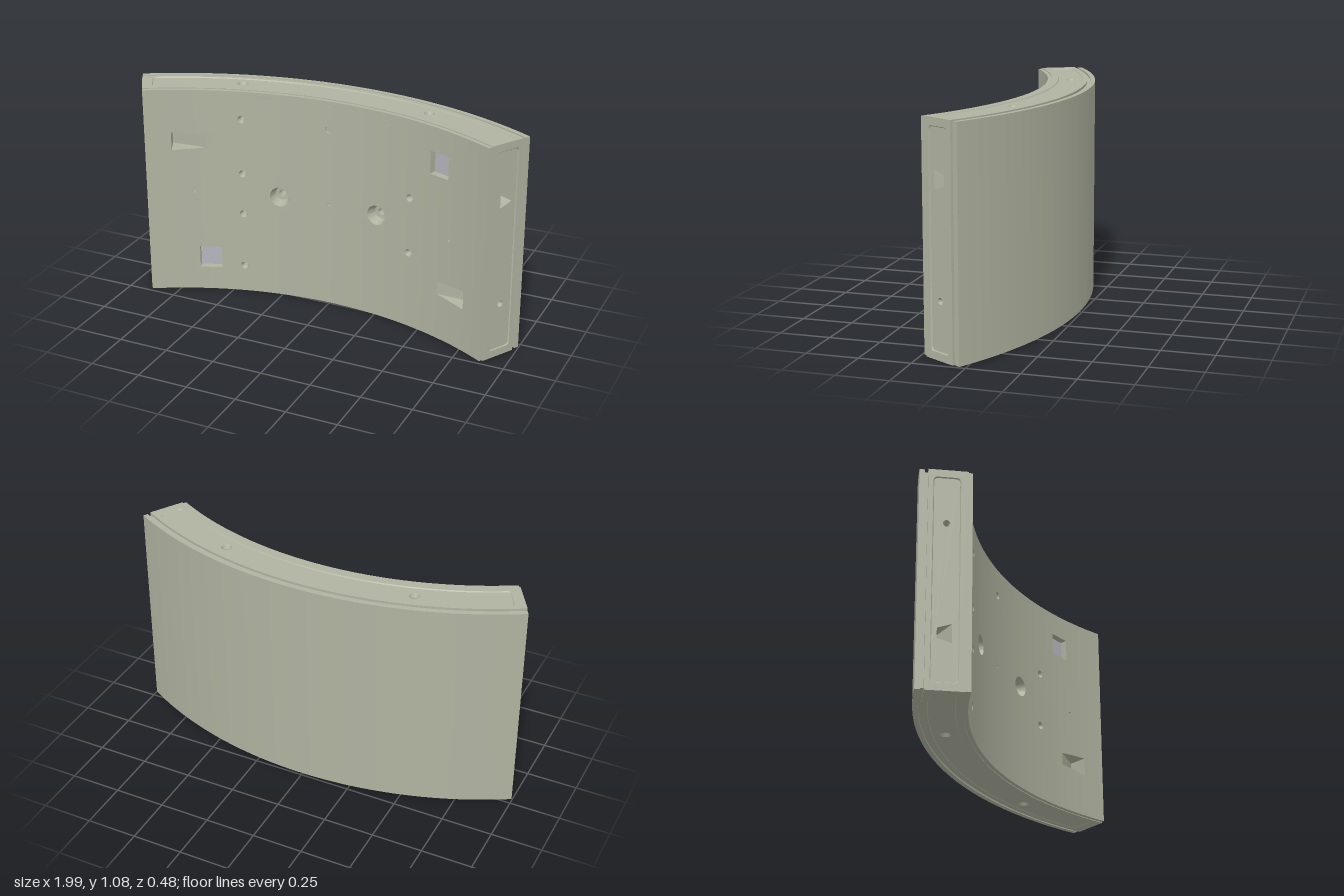
import * as THREE from 'three';
import { toCreasedNormals } from 'three/addons/utils/BufferGeometryUtils.js';

const RI = 1.747, RO = 1.987, ZC = 1.747, H = 1.077;
const A = Math.asin(1 / RO);                  // half of the arc's angle
const PANEL_R = [1.8, 1.924], PANEL_D = 0.005;

const concrete = new THREE.MeshStandardMaterial({ color: 0xb0b3a0 });
const steel = new THREE.MeshStandardMaterial({ color: 0xb4b4bc });

// Surface maps: (u, v, depth below the surface) to a point in space
const polar = (a, r, y) => new THREE.Vector3(r * Math.sin(a), y, ZC - r * Math.cos(a));
const innerMap = (u, v, d) => polar(u / RI, RI + d, v);
const topMap = (u, v, d) => new THREE.Vector3(u, H - d, -v);
const endMap = (u, v, d) => polar(A, u, v).add(new THREE.Vector3(-d * Math.cos(A), 0, -d * Math.sin(A)));
const arcU = x => RI * Math.asin(x / RI);     // front x to length along the inner arc

// Collects triangles, dropping degenerate ones
class Surface {
  constructor() { this.p = []; }
  tri(a, b, c) {
    const n = b.clone().sub(a).cross(c.clone().sub(a));
    if (n.length() > 1e-9) for (const q of [a, b, c]) this.p.push(q.x, q.y, q.z);
  }
  // Skin between closed rings of points
  loft(rings) {
    for (let i = 0; i + 1 < rings.length; i++) {
      const f = rings[i], g = rings[i + 1], n = f.length;
      for (let j = 0; j < n; j++) {
        const k = (j + 1) % n;
        this.tri(f[j], g[j], f[k]);
        this.tri(f[k], g[j], g[k]);
      }
    }
  }
  // Recess walls: steps are [contour, depth]; contours run counter-clockwise
  cut(map, steps, cap = true) {
    const rings = steps.map(([c, d]) => c.map((q, i) => map(q[0], q[1], Array.isArray(d) ? d[i] : d)).reverse());
    this.loft(rings);
    if (cap) this.cap(rings.at(-1));
  }
  cap(ring) {
    for (let j = 1; j + 1 < ring.length; j++) this.tri(ring[0], ring[j + 1], ring[j]);
  }
  // Flat outline with holes; with a step the triangles are sliced to follow the curve
  face(map, outline, holes, d, step = 0) {
    const shape = new THREE.Shape(outline.map(q => new THREE.Vector2(...q)));
    for (const h of holes) shape.holes.push(new THREE.Path(h.map(q => new THREE.Vector2(...q))));
    const pos = new THREE.ShapeGeometry(shape).toNonIndexed().attributes.position;
    for (let i = 0; i < pos.count; i += 3) {
      const t = [0, 1, 2].map(k => [pos.getX(i + k), pos.getY(i + k)]);
      const us = t.map(q => q[0]);
      const k0 = step ? Math.floor(Math.min(...us) / step) : 0;
      const k1 = step ? Math.ceil(Math.max(...us) / step) : 1;
      for (let k = k0; k < k1; k++) {
        const poly = step ? clip(clip(t, k * step, 1), (k + 1) * step, -1) : t;
        const pts = poly.map(q => map(q[0], q[1], d));
        for (let j = 1; j + 1 < pts.length; j++) this.tri(pts[0], pts[j], pts[j + 1]);
      }
    }
  }
  mesh(name, material = concrete) {
    const g = new THREE.BufferGeometry();
    g.setAttribute('position', new THREE.Float32BufferAttribute(this.p, 3));
    const m = new THREE.Mesh(toCreasedNormals(g, 0.3), material);
    m.name = name;
    return m;
  }
}

// Keeps the side of a polygon where sign * (u - at) >= 0
function clip(poly, at, sign) {
  const out = [];
  poly.forEach((a, i) => {
    const b = poly[(i + 1) % poly.length];
    const da = sign * (a[0] - at), db = sign * (b[0] - at);
    if (da >= 0) out.push(a);
    if (da * db < 0) out.push([at, a[1] + (b[1] - a[1]) * da / (da - db)]);
  });
  return out;
}

const circle = (u, v, r, n = 20) => Array.from({ length: n }, (_, i) => {
  const t = i / n * Math.PI * 2;
  return [u + r * Math.cos(t), v + r * Math.sin(t)];
});
const rect = (u0, u1, v0, v1) => [[u0, v0], [u1, v0], [u1, v1], [u0, v1]];

// Rounded rectangle with n divisions along its u sides
function roundRect(u0, u1, v0, v1, c, n) {
  const out = [];
  const corner = (u, v, t0) => {
    for (let i = 0; i <= 4; i++) {
      const t = t0 + i * Math.PI / 8;
      out.push([u + c * Math.cos(t), v + c * Math.sin(t)]);
    }
  };
  const side = (a, b, v) => { for (let i = 1; i < n; i++) out.push([a + (b - a) * i / n, v]); };
  corner(u0 + c, v0 + c, Math.PI);
  side(u0 + c, u1 - c, v0);
  corner(u1 - c, v0 + c, Math.PI * 1.5);
  corner(u1 - c, v1 - c, 0);
  side(u1 - c, u0 + c, v1);
  corner(u0 + c, v1 - c, Math.PI / 2);
  return out;
}

// Wedge-shaped bolt pocket: sloping floor from a shallow edge to a deep one
function wedge(uDeep, hDeep, uShallow, hShallow, v, depth) {
  let c = [[uDeep, v - hDeep], [uShallow, v - hShallow], [uShallow, v + hShallow], [uDeep, v + hDeep]];
  let d = [depth, 0, 0, depth];
  if (uDeep > uShallow) { c = c.reverse(); d = d.reverse(); }
  return [[c, 0], [c, d]];
}
const boltHole = (u, v, r, d0, depth) => [[circle(u, v, r), d0], [circle(u, v, r * 0.62), d0 + 0.02], [circle(u, v, r * 0.62), depth]];

// Perimeter of the segment at radius r, inset by d on all four edges
function perimeter(r, d, n = 48) {
  const lim = A - d / r, out = [];
  for (let i = 0; i <= n; i++) out.push(polar(-lim + 2 * lim * i / n, r, d));
  for (let i = n; i >= 0; i--) out.push(polar(-lim + 2 * lim * i / n, r, H - d));
  return out;
}

function buildInnerFace(group) {
  const s = new Surface(), plates = new Surface(), holes = [];
  const add = (steps, cap) => { holes.push(steps[0][0]); s.cut(innerMap, steps, cap); };
  for (const k of [-1, 1]) {
    const vy = y => k < 0 ? y : H - y;
    add(wedge(k * arcU(0.765), 0.047, k * arcU(0.61), 0.031, vy(0.807), 0.1));
    // Square recess with a steel plate
    const u = k * arcU(0.603), v = vy(0.182), r = rect(u - 0.055, u + 0.055, v - 0.057, v + 0.057);
    add([[r, 0], [r, 0.035]], false);
    plates.cap(r.map(q => innerMap(q[0], q[1], 0.035)).reverse());
    // Grout sockets
    const g = [k * arcU(0.257), 0.54];
    add([[circle(...g, 0.05, 32), 0], [circle(...g, 0.035, 32), 0.05], [circle(...g, 0.017, 32), 0.052], [circle(...g, 0.015, 32), 0.15]]);
  }
  for (const [x, y] of [[-0.44, 0.93], [-0.44, 0.645], [-0.44, 0.43], [-0.44, 0.145], [0.44, 0.68], [0.44, 0.395]])
    add(boltHole(arcU(x), y, 0.019, 0, 0.06));
  add([[circle(0, 0.93, 0.019), 0], [circle(0, 0.93, 0.019), 0.01]]);
  // Small marker holes
  for (const [x, y] of [[-0.67, 0.54], [0, 0.54], [0.67, 0.54], [-0.305, 1.04], [0.305, 1.04], [0, 1.05], [0, 0.025]]) {
    const c = circle(arcU(x), y, Math.abs(y - 0.54) < 0.1 ? 0.007 : 0.004, 10);
    add([[c, 0], [c, 0.03]]);
  }
  const d = 0.004, L = RI * (A - d / RI);
  s.face(innerMap, rect(-L, L, d, H - d), holes, 0, 2 * L / 48);
  group.add(s.mesh('innerFace'), plates.mesh('recessPlates', steel));
}

// Stepped band around the edge, with the gasket groove
function buildRim(group) {
  const s = new Surface();
  const rings = pts => s.loft(pts.map(([r, d]) => perimeter(r, d)));
  rings([[RI, 0.004], [1.767, 0.004], [1.767, 0]]);
  rings([[1.947, 0], [1.947, 0.012], [1.963, 0.012], [1.963, 0.003], [RO, 0.003]]);
  group.add(s.mesh('edgeRimAndGasketGroove'));
}

function buildOuterFace(group) {
  const s = new Surface(), ring = perimeter(RO, 0.003), n = ring.length;
  for (let i = 0; i + 1 < n / 2; i++) {
    const [a, b, c, d] = [ring[i], ring[i + 1], ring[n - 2 - i], ring[n - 1 - i]];
    s.tri(a, c, b);
    s.tri(a, d, c);
  }
  group.add(s.mesh('outerFace'));
}

// Long arched edge with a sunken panel and two dowel holes
function buildArchEdge() {
  const s = new Surface(), lim = 28.7 * Math.PI / 180;
  const bend = c => c.map(([t, r]) => { const q = polar(t / 1.86, r, 0); return [q.x, -q.z]; });
  const panel = e => bend(roundRect(-lim * 1.86 + e, lim * 1.86 - e, PANEL_R[0] + e, PANEL_R[1] - e, 0.018, 48));
  const band = perimeter(1.767, 0).slice(0, 49).concat(perimeter(1.947, 0).slice(49)).map(q => [q.x, -q.z]);
  s.face(topMap, band, [panel(0)], 0);
  s.cut(topMap, [[panel(0), 0], [panel(0.004), PANEL_D]], false);
  const holes = [-0.485, 0.485].map(x => boltHole(x, 0.055, 0.026, PANEL_D, 0.09));
  holes.forEach(h => s.cut(topMap, h));
  s.face(topMap, panel(0.004), holes.map(h => h[0][0]), PANEL_D);
  return s.mesh('archEdge');
}

// Straight end with a sunken panel, a bolt pocket and a bolt hole
function buildEnd() {
  const s = new Surface();
  const panel = e => roundRect(PANEL_R[0] + e, PANEL_R[1] - e, 0.037 + e, H - 0.037 - e, 0.018, 2);
  s.face(endMap, rect(1.767, 1.947, 0, H), [panel(0)], 0);
  s.cut(endMap, [[panel(0), 0], [panel(0.004), PANEL_D]], false);
  const sunk = (u, v, d) => endMap(u, v, d + PANEL_D);
  const pocket = wedge(1.897, 0.024, 1.832, 0.045, 0.807, 0.09);
  const bolt = boltHole(1.862, 0.27, 0.016, 0, 0.08);
  s.cut(sunk, pocket);
  s.cut(sunk, bolt);
  s.face(sunk, panel(0.004), [pocket[0][0], bolt[0][0]], 0);
  return s.mesh('endFace');
}

export function createModel() {
  const group = new THREE.Group();
  group.name = 'curvedLiningSegment';
  buildInnerFace(group);
  buildRim(group);
  buildOuterFace(group);
  // Edges repeat under a half turn about the front axis
  for (const m of [buildArchEdge(), buildEnd()]) {
    const other = m.clone();
    other.rotation.z = Math.PI;
    other.position.y = H;
    other.name = m.name + 'Opposite';
    group.add(m, other);
  }
  return group;
}
